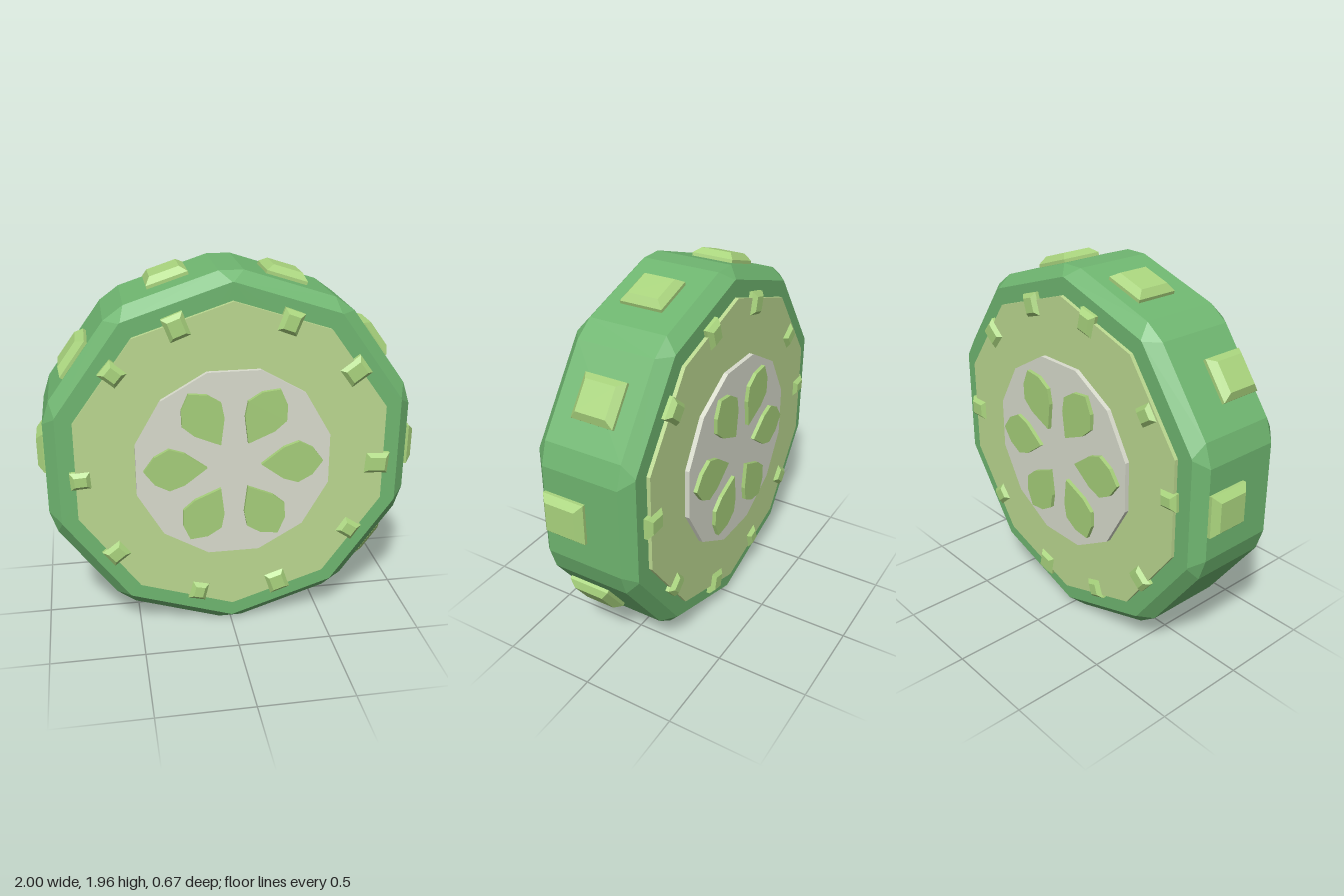
import * as THREE from 'three';

const CY = 0.98; // height of the slice centre

const mat = (color) => new THREE.MeshStandardMaterial({ color, flatShading: true });

function part(name, geometry, material) {
  const mesh = new THREE.Mesh(geometry, material);
  mesh.name = name;
  return mesh;
}

// Decagon with a point at the top, each corner cut off at distance `cut`
function decagon(radius, cut, z) {
  const corner = (i) => {
    const a = Math.PI / 2 + (i * Math.PI) / 5;
    return new THREE.Vector3(radius * Math.cos(a), radius * Math.sin(a), z);
  };
  const pts = [];
  for (let i = 0; i < 10; i++) {
    for (const side of [-1, 1]) {
      const p = corner(i);
      const dir = corner(i + side).sub(p).normalize();
      pts.push(p.addScaledVector(dir, cut));
    }
  }
  return pts;
}

// Skin joining cross-sections from back to front, with flat end caps
function loft(sections) {
  const pos = [];
  const tri = (...v) => v.forEach((p) => pos.push(p.x, p.y, p.z));
  for (let s = 0; s < sections.length - 1; s++) {
    const a = sections[s], b = sections[s + 1];
    a.forEach((p, i) => {
      const j = (i + 1) % a.length;
      tri(p, a[j], b[j]);
      tri(p, b[j], b[i]);
    });
  }
  const back = sections[0], front = sections[sections.length - 1];
  for (let i = 1; i < front.length - 1; i++) {
    tri(front[0], front[i], front[i + 1]);
    tri(back[0], back[i + 1], back[i]);
  }
  const g = new THREE.BufferGeometry();
  g.setAttribute('position', new THREE.Float32BufferAttribute(pos, 3));
  g.computeVertexNormals();
  return g;
}

// Bevelled block, centred on its middle, facing +z
function block(w, h, d, c) {
  const x = w / 2 - c, y = h / 2 - c;
  const shape = new THREE.Shape([[-x, -y], [x, -y], [x, y], [-x, y]].map((p) => new THREE.Vector2(...p)));
  const g = new THREE.ExtrudeGeometry(shape, {
    depth: d - 2 * c, bevelEnabled: true, bevelSegments: 1, bevelSize: c, bevelThickness: c,
  });
  return g.translate(0, 0, c - d / 2);
}

// Flat disc with `sides` sides; `turn` is the angle of its first corner
function disc(radius, sides, turn, z0, z1) {
  const g = new THREE.CylinderGeometry(radius, radius, z1 - z0, sides);
  return g.rotateX(Math.PI / 2).rotateZ(turn).translate(0, 0, (z0 + z1) / 2);
}

// Small bumps around each cut face: x, y (from the centre), size
const FRONT_BUMPS = [
  [-0.28, 0.73, 0.125], [0.285, 0.73, 0.12], [0.63, 0.46, 0.13], [0.77, -0.055, 0.13], [0.635, -0.435, 0.11],
  [0.245, -0.73, 0.125], [-0.185, -0.75, 0.105], [-0.615, -0.475, 0.115], [-0.78, -0.045, 0.105], [-0.595, 0.51, 0.11],
];
const BACK_BUMPS = [
  [-0.235, 0.745, 0.12], [0.19, 0.755, 0.12], [0.61, 0.42, 0.11], [0.77, 0.04, 0.105], [0.59, -0.49, 0.115],
  [0.25, -0.73, 0.105], [-0.175, -0.77, 0.12], [-0.59, -0.5, 0.11], [-0.775, -0.005, 0.125], [-0.59, 0.5, 0.125],
];
// Large bumps on the rim: angle in steps of 36 degrees, z
const RIM_BUMPS = [[-1, 0.07], [0, 0.09], [1, -0.01], [2, 0.01], [3, -0.03], [4, 0.09], [5, -0.095]];

export function createModel() {
  const model = new THREE.Group();
  model.name = 'vegetableSlice';
  const skin = mat(0x6fb670), flesh = mat(0xbbd890), core = mat(0xd9dccd), bumpMat = mat(0xaad57e), seedMat = mat(0xa6cf7a);

  const slice = new THREE.Group();
  slice.name = 'slice';
  slice.position.y = CY;
  model.add(slice);

  // Skin with chamfered rims
  slice.add(part('skin', loft([
    decagon(0.936, 0.004, -0.27), decagon(1, 0.065, -0.21),
    decagon(1, 0.065, 0.21), decagon(0.936, 0.004, 0.27),
  ]), skin));

  // Bumps on the rim, one per flat side
  for (const [step, z] of RIM_BUMPS) {
    const pivot = new THREE.Group();
    pivot.name = 'rimBump';
    pivot.rotation.z = (step * Math.PI) / 5;
    const bump = part('rimBumpBlock', block(0.23, 0.22, 0.1, 0.032), bumpMat);
    bump.rotation.y = Math.PI / 2;
    bump.position.set(0.95, 0, z);
    pivot.add(bump);
    slice.add(pivot);
  }

  // Seed outline: pointed towards the centre, rounded outside
  const half = [[0.14, 0], [0.257, -0.088], [0.335, -0.115], [0.41, -0.075], [0.465, 0]];
  const outline = [...half, ...half.slice(1, -1).reverse().map(([x, y]) => [x, -y])];
  const seedGeo = new THREE.ExtrudeGeometry(
    new THREE.Shape(outline.map((p) => new THREE.Vector2(...p))), { depth: 0.035, bevelEnabled: false });

  // Both cut faces
  for (const [name, turn, bumps] of [['frontFace', 0, FRONT_BUMPS], ['backFace', Math.PI, BACK_BUMPS]]) {
    const face = new THREE.Group();
    face.name = name;
    face.rotation.y = turn;
    face.add(part('flesh', disc(0.845, 10, Math.PI / 10 + Math.PI / 10 - Math.PI / 10 - Math.PI / 10, 0.25, 0.29), flesh));
    face.add(part('core', disc(0.52, 12, Math.PI / 12, 0.28, 0.314), core));
    for (let i = 0; i < 6; i++) {
      const seed = part('seed', seedGeo, seedMat);
      seed.rotation.z = (i * Math.PI) / 3;
      seed.position.z = 0.3;
      face.add(seed);
    }
    for (const [x, y, size] of bumps) {
      const bump = part('faceBump', block(size, size * 0.9, 0.08, 0.022), bumpMat);
      bump.position.set(x, y, 0.27);
      bump.rotation.z = Math.atan2(y, x);
      face.add(bump);
    }
    slice.add(face);
  }
  return model;
}
